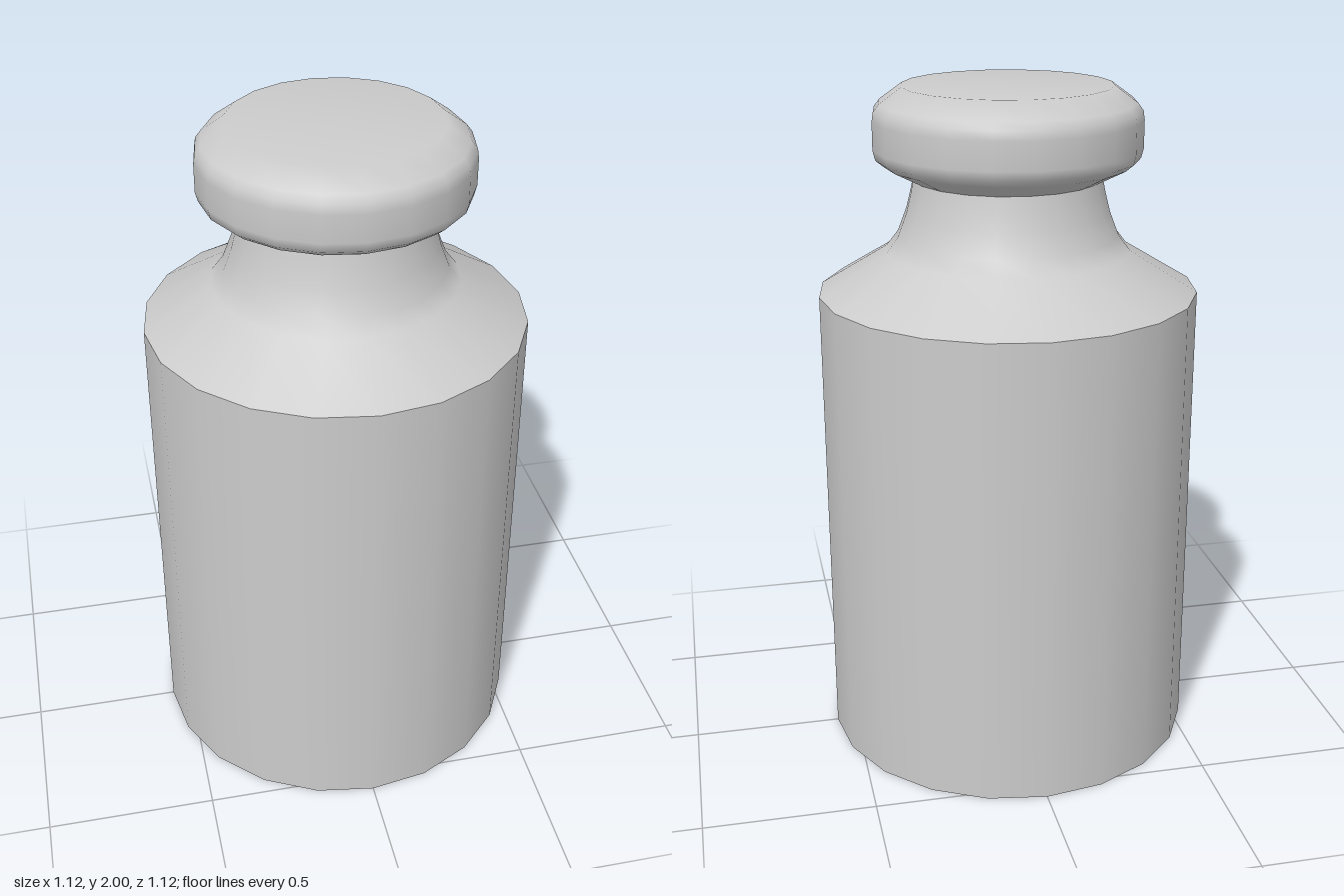
import * as THREE from 'three';

const SIDES = 20;
const material = new THREE.MeshStandardMaterial({ color: 0xcccccc });

// Turned part from [radius, height] pairs, listed from bottom to top
function turned(name, profile) {
  const points = profile.map(([r, y]) => new THREE.Vector2(r, y));
  const mesh = new THREE.Mesh(new THREE.LatheGeometry(points, SIDES), material);
  mesh.name = name;
  return mesh;
}

export function createModel() {
  const group = new THREE.Group();
  group.name = 'calibrationWeight';

  // Separate smooth sections keep the edges between them sharp
  group.add(
    turned('base', [[0, 0], [0.558, 0]]),
    turned('body', [[0.558, 0], [0.558, 1.405]]),
    turned('shoulderAndNeck', [
      [0.558, 1.405], [0.36, 1.525], [0.325, 1.57], [0.298, 1.64], [0.283, 1.7], [0.276, 1.735],
    ]),
    // Rounded knob, shaded smoothly over its top
    turned('knob', [
      [0.276, 1.735], [0.36, 1.778], [0.383, 1.797], [0.39, 1.825],
      [0.39, 1.905], [0.386, 1.932], [0.37, 1.953], [0.305, 2], [0, 2],
    ]),
  );
  return group;
}
